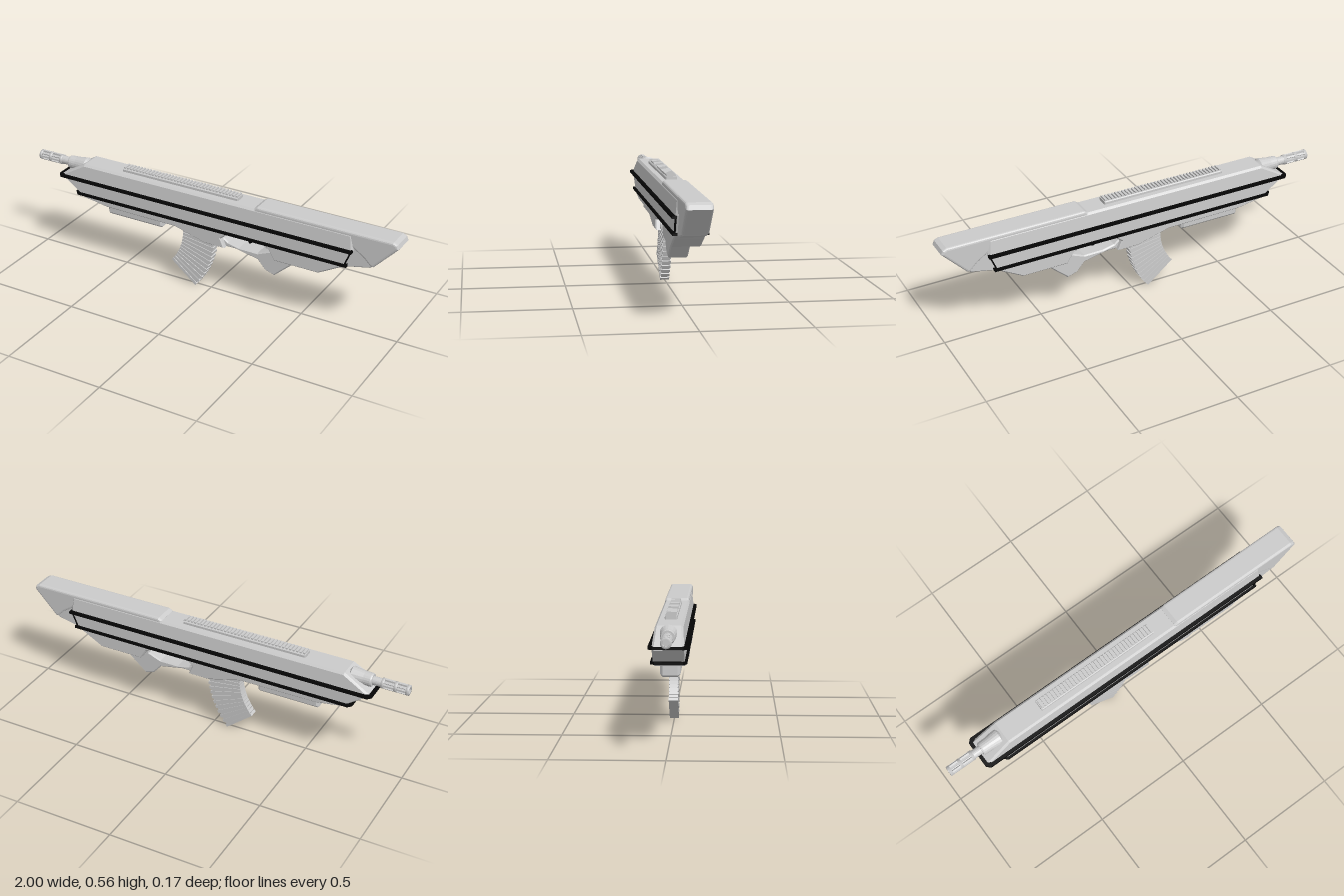
import * as THREE from 'three';

const grey = new THREE.MeshStandardMaterial({ color: 0xcccccc, flatShading: true });
const smoothGrey = new THREE.MeshStandardMaterial({ color: 0xcccccc });
const black = new THREE.MeshStandardMaterial({ color: 0x050505 });

const shapeOf = (points) => new THREE.Shape(points.map(([x, y]) => new THREE.Vector2(x, y)));

// Side profile extruded across z to a half width, with bevelled edges
function slab(profile, halfWidth, bevel = 0.008, segments = 1) {
  const geo = new THREE.ExtrudeGeometry(shapeOf(profile), {
    depth: 2 * (halfWidth - bevel), bevelEnabled: bevel > 0, bevelThickness: bevel,
    bevelSize: bevel, bevelOffset: -bevel, bevelSegments: segments, curveSegments: 8,
  });
  return geo.translate(0, 0, -(halfWidth - bevel));
}

// Narrow a slab linearly in z between heights y0 and y1
function taper(geo, y0, y1, topScale) {
  const p = geo.attributes.position;
  for (let i = 0; i < p.count; i++) {
    const t = THREE.MathUtils.clamp((p.getY(i) - y0) / (y1 - y0), 0, 1);
    p.setZ(i, p.getZ(i) * (1 + (topScale - 1) * t));
  }
  geo.computeVertexNormals();
  return geo;
}

// U-shaped strip wrapping both sides and the nose
function trimStrip(front, back, outer, y) {
  const inner = outer - 0.022, c = 0.018;
  const shape = shapeOf([
    [back, outer], [front + c, outer], [front, outer - c], [front, c - outer], [front + c, -outer],
    [back, -outer], [back, -inner], [front + c + 0.012, -inner], [front + 0.018, c - inner],
    [front + 0.018, inner - c], [front + c + 0.012, inner], [back, inner],
  ]);
  const geo = new THREE.ExtrudeGeometry(shape, { depth: 0.012, bevelEnabled: false });
  return geo.rotateX(-Math.PI / 2).translate(0, y - 0.006, 0);
}

export function createModel() {
  const root = new THREE.Group();
  const add = (name, geo, mat = grey, parent = root) => {
    const mesh = new THREE.Mesh(geo, mat);
    mesh.name = name;
    parent.add(mesh);
    return mesh;
  };
  const group = (name) => {
    const g = new THREE.Group();
    g.name = name;
    root.add(g);
    return g;
  };

  // Main shell
  add('upperBody', taper(slab([
    [-0.835, 0.455], [0.77, 0.455], [0.78, 0.47], [0.77, 0.547], [-0.70, 0.547], [-0.835, 0.467],
  ], 0.071, 0.01), 0.465, 0.547, 0.87));
  add('lowerBody', slab([
    [-0.835, 0.467], [-0.70, 0.368], [-0.57, 0.346], [-0.17, 0.343], [0, 0.297], [0.11, 0.297],
    [0.09, 0.345], [0.12, 0.37], [0.2, 0.385], [0.31, 0.378], [0.35, 0.352], [0.38, 0.305],
    [0.47, 0.305], [0.61, 0.305], [0.70, 0.355], [0.74, 0.378], [0.78, 0.467],
  ], 0.07, 0.006));

  // Guard and grip, framing the opening together with the shell
  add('guardAndGrip', slab([
    [0.05, 0.297], [0.16, 0.297], [0.28, 0.272], [0.32, 0.226], [0.37, 0.21], [0.48, 0.308],
    [0.46, 0.36], [0.345, 0.355], [0.345, 0.335], [0.28, 0.308], [0.18, 0.309],
    [0.12, 0.322], [0.09, 0.345], [0.05, 0.345],
  ], 0.047, 0.006));
  add('trigger', new THREE.TubeGeometry(new THREE.CatmullRomCurve3([
    new THREE.Vector3(0.245, 0.385, 0), new THREE.Vector3(0.238, 0.35, 0),
    new THREE.Vector3(0.212, 0.325, 0),
  ]), 8, 0.007, 6), black);

  // Stock with its rounded cap
  add('stock', slab([
    [0.60, 0.34], [0.70, 0.362], [0.865, 0.398], [0.985, 0.53], [0.96, 0.545], [0.60, 0.545],
  ], 0.057, 0.006));
  add('stockCap', slab([
    [0.262, 0.515], [0.262, 0.548], [0.28, 0.559], [0.97, 0.559], [0.99, 0.55], [0.998, 0.53],
    [0.88, 0.405], [0.865, 0.405], [0.83, 0.44], [0.74, 0.50],
  ], 0.061, 0.012, 3));

  // Black trim strips
  add('upperTrim', trimStrip(-0.845, 0.78, 0.087, 0.465), black);
  add('lowerTrim', trimStrip(-0.75, 0.755, 0.081, 0.386), black);
  for (const s of [-1, 1]) {
    const tick = add('trimEnd', new THREE.BoxGeometry(0.006, 0.095, 0.008), black);
    tick.position.set(0.758, 0.428, s * 0.07);
    tick.rotation.z = -0.38;
  }

  // Ribbed top rail
  const rail = group('topRail');
  add('railBase', slab([[-0.49, 0.54], [0.16, 0.54], [0.16, 0.562], [-0.49, 0.562]], 0.028, 0.004),
    grey, rail);
  const ribs = 36;
  for (let i = 0; i < ribs; i++) {
    const rib = add('railRib', new THREE.BoxGeometry(0.01, 0.012, 0.046), grey, rail);
    rib.position.set(-0.48 + (0.63 * i) / (ribs - 1), 0.564, 0);
  }

  // Box under the fore end
  add('foreBox', slab([
    [-0.575, 0.36], [-0.575, 0.305], [-0.567, 0.297], [-0.263, 0.297], [-0.255, 0.305], [-0.255, 0.36],
  ], 0.046, 0.012));

  // Curved magazine built from alternating ribs and grooves
  const magazine = group('magazine');
  const count = 23, turn = 0.7, radius = 0.37;
  for (let i = 0; i < count; i++) {
    const a = (turn * (i + 0.5)) / count;
    const wide = i % 2 === 0;
    const seg = add(wide ? 'magazineRib' : 'magazineGroove',
      new THREE.BoxGeometry(wide ? 0.175 : 0.162, 0.0145, wide ? 0.045 : 0.038), grey, magazine);
    seg.position.set(-0.06 - radius * (1 - Math.cos(a)), 0.307 - radius * Math.sin(a), 0);
    seg.rotation.z = -a;
  }

  // Barrel with a shroud and slotted muzzle
  const barrel = group('barrel');
  barrel.position.y = 0.511;
  const along = (name, profile) => add(name, new THREE.LatheGeometry(
    profile.map(([r, x]) => new THREE.Vector2(r, x)), 20).rotateZ(-Math.PI / 2), grey, barrel);
  along('shroud', [[0, -0.822], [0.03, -0.822], [0.033, -0.815], [0.034, -0.78], [0.042, -0.72], [0, -0.68]]);
  along('innerBarrel', [[0, -0.985], [0.015, -0.985], [0.015, -0.87], [0.021, -0.87], [0.021, -0.81]]);
  for (const x of [-0.993, -0.935, -0.872]) {
    const ring = add('muzzleRing', new THREE.LatheGeometry([
      [0.016, -0.007], [0.025, -0.007], [0.025, 0.007], [0.016, 0.007], [0.016, -0.007],
    ].map(([r, y]) => new THREE.Vector2(r, y)), 20).rotateZ(-Math.PI / 2), smoothGrey, barrel);
    ring.position.x = x;
  }
  for (let i = 0; i < 8; i++) {
    const a = (i * Math.PI) / 4;
    const bar = add('muzzleBar', new THREE.BoxGeometry(0.12, 0.009, 0.009), grey, barrel);
    bar.position.set(-0.933, Math.cos(a) * 0.02, Math.sin(a) * 0.02);
    bar.rotation.x = a;
  }
  return root;
}
